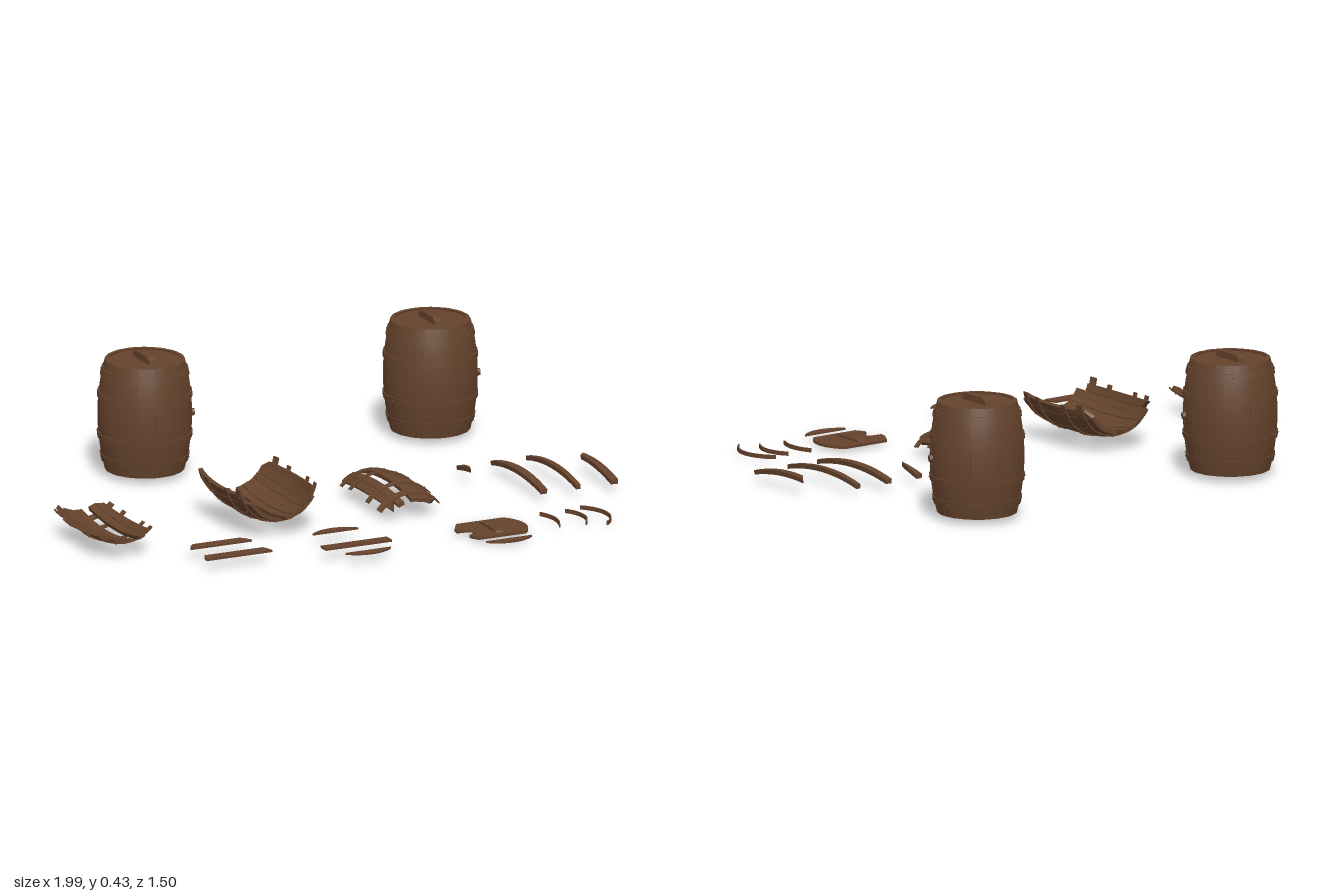
import * as THREE from 'three';
import { mergeGeometries } from 'three/addons/utils/BufferGeometryUtils.js';

const wood = new THREE.MeshStandardMaterial({ color: 0x65432c });
wood.name = 'brown wood';

const HALF = 0.195, STEP = Math.PI * 2 / 32;
const HOOPS = [[-0.15, 0.026], [-0.07, 0.02], [0.075, 0.02], [0.155, 0.026]];
const bulge = s => 0.163 - 0.025 * (s / HALF) ** 2;

let seed = 7;
const rnd = () => (seed = (seed * 16807) % 2147483647) / 2147483647;

// Curved slab of a barrel wall: angles a0..a1 around z, s0..s1 along z.
// slant shortens the far end at a1; taper narrows the slab towards s1.
function sector(a0, a1, s0, s1, { off = 0, th = 0.014, radius = bulge, nS = 10, slant = 0, taper = 0 } = {}) {
  const g = new THREE.BoxGeometry(1, 1, 1, Math.max(1, Math.ceil((a1 - a0) / 0.14)), 1, nS);
  const p = g.attributes.position;
  for (let i = 0; i < p.count; i++) {
    const u = p.getX(i) + 0.5, v = p.getY(i) + 0.5, w = p.getZ(i) + 0.5;
    const s = s0 + (s1 - s0 - slant * u) * w;
    const a = a0 + (a1 - a0) * u * (1 - taper * w);
    const r = radius(s) + off - th * (1 - v);
    p.setXYZ(i, r * Math.sin(a), r * Math.cos(a), s);
  }
  g.computeVertexNormals();
  return g;
}

function add(parent, name, geo, x = 0, y = 0, z = 0) {
  const m = new THREE.Mesh(geo, wood);
  m.name = name;
  m.position.set(x, y, z);
  parent.add(m);
  return m;
}

function group(parent, name, x, y, z) {
  const g = new THREE.Group();
  g.name = name;
  g.position.set(x, y, z);
  parent.add(g);
  return g;
}

// Small rivet heads along a hoop
function rivets(a0, a1, s, n) {
  return Array.from({ length: n }, (_, i) => {
    const a = a0 + (a1 - a0) * (i + 0.5) / n, r = bulge(s) + 0.004;
    return new THREE.SphereGeometry(0.003, 6, 4).translate(r * Math.sin(a), r * Math.cos(a), s);
  });
}

// Flat plate from [x, z] points, top face at y = 0
function plate(pts, th = 0.007) {
  const shape = new THREE.Shape(pts.map(([x, z]) => new THREE.Vector2(x, z)));
  return new THREE.ExtrudeGeometry(shape, { depth: th, bevelEnabled: false }).rotateX(Math.PI / 2);
}

// Points on the lid's edge between two z offsets
const LID = 0.127;
function lidEdge(z0, z1, side) {
  return Array.from({ length: 9 }, (_, i) => {
    const t0 = Math.asin(z0 / LID), t1 = Math.asin(z1 / LID), t = t0 + (t1 - t0) * i / 8;
    return [side * LID * Math.cos(t), LID * Math.sin(t)];
  });
}
const lidBoard = (z0, z1) => plate([...lidEdge(z0, z1, 1), ...lidEdge(z1, z0, -1)]);

// Grip bar with sloping ends, running along z
function grip(h) {
  const s = new THREE.Shape([[-0.065, 0], [0.065, 0], [0.062, h * 0.6], [0.045, h], [-0.045, h], [-0.062, h * 0.6]]
    .map(([x, y]) => new THREE.Vector2(x, y)));
  return new THREE.ExtrudeGeometry(s, { depth: 0.028, bevelEnabled: false })
    .translate(0, 0, -0.014).rotateY(Math.PI / 2);
}

function barrel(parent, x, z) {
  const b = group(parent, 'barrel', x, 0.217, z);
  const body = group(b, 'barrelBody', 0, 0, 0);
  body.rotation.x = -Math.PI / 2;
  const staves = [];
  for (let i = 0; i < 32; i++)
    staves.push(sector(i * STEP, (i + 1) * STEP, -HALF, HALF, { off: (i % 2) * -0.0012 - rnd() * 0.0008 }));
  add(body, 'staves', mergeGeometries(staves));
  HOOPS.forEach(([s, w]) => {
    add(body, 'hoop', sector(0, Math.PI * 2, s - w / 2, s + w / 2, { off: 0.004, th: 0.005, nS: 2 }));
    add(body, 'rivets', mergeGeometries(rivets(0, Math.PI * 2, s, 16)));
  });
  add(b, 'lid', new THREE.CylinderGeometry(0.129, 0.129, 0.012, 32), 0, 0.183, 0);
  add(b, 'bottom', new THREE.CylinderGeometry(0.129, 0.129, 0.012, 32), 0, -0.184, 0);
  add(b, 'lidGrip', grip(0.024), 0, 0.189, 0);
  // Bung on the side
  const bung = add(b, 'bung', new THREE.CylinderGeometry(0.012, 0.014, 0.014, 12), 0.153, 0, 0.06);
  bung.quaternion.setFromUnitVectors(new THREE.Vector3(0, 1, 0), new THREE.Vector3(0.153, 0, 0.06).normalize());
}

// Broken piece of barrel wall lying along z, with missing staves and torn hoops
function fragment(parent, x, y, reach, missing, hoopReach, trough) {
  const f = group(parent, 'brokenBarrelWall', x, y, 0.112);
  if (trough) f.rotation.x = Math.PI;
  const staves = [];
  for (let i = -reach; i <= reach; i++) {
    if (missing.includes(i)) continue;
    const edge = Math.abs(i) === reach;
    staves.push(sector((i - 0.48) * STEP, (i + 0.48) * STEP, -HALF + (edge ? rnd() * 0.05 : 0), HALF,
      { off: -rnd() * 0.002, slant: edge ? 0.03 : 0 }));
  }
  add(f, 'staves', mergeGeometries(staves));
  HOOPS.forEach(([s, w]) => {
    const a0 = -hoopReach + rnd() * 0.1, a1 = hoopReach - rnd() * 0.1;
    add(f, 'tornHoop', sector(a0, a1, s - w / 2, s + w / 2, { off: 0.004, th: 0.005, nS: 2 }));
    add(f, 'rivets', mergeGeometries(rivets(a0, a1, s, Math.round(hoopReach * 5))));
  });
}

export function createModel() {
  const root = new THREE.Group();
  root.name = 'barrelsAndParts';

  barrel(root, -0.375, -0.59);
  barrel(root, 0.715, -0.59);

  fragment(root, -0.875, 0.195, 3, [1], 0.85, true);
  fragment(root, -0.287, 0.197, 6, [0], 1.45, true);
  fragment(root, 0.215, -0.062, 3, [-1], 0.9, false);

  // Loose staves: x, half angle, start, end, slant, taper
  [[0.58, 0.095, -HALF, -0.08, 0.03, 0.6], [0.71, 0.095, -HALF, HALF, 0, 0],
    [0.841, 0.065, -HALF, HALF, 0, 0], [0.979, 0.105, HALF, -0.085, 0.03, 0.3]]
    .forEach(([x, a, s0, s1, slant, taper]) => {
      const flip = s0 > s1;
      const m = add(root, 'looseStave',
        sector(-a, a, flip ? -s0 : s0, flip ? -s1 : s1, { slant, taper, th: 0.016 }), x, -0.097, 0.112);
      if (flip) m.rotation.y = Math.PI;
    });

  // Loose lid boards: circle centre x, z, then offsets of the two straight cuts
  [[-0.575, 0.465, -0.09, -0.048], [-0.575, 0.575, -0.062, -0.015],
    [-0.153, 0.537, -0.1269, -0.092], [-0.153, 0.607, -0.022, 0.022],
    [-0.153, 0.608, 0.092, 0.1269]]
    .forEach(([x, z, z0, z1]) => add(root, 'looseLidBoard', lidBoard(z0, z1), x, 0.044, z));
  add(root, 'looseLidBoard', lidBoard(0.092, 0.1269), 0.38, 0.019, 0.618);

  // Broken lid with a torn left edge and a grip on both faces
  const lid = group(root, 'brokenLid', 0.38, 0.019, 0.57);
  add(lid, 'lidBoards', plate([...lidEdge(-0.09, 0.09, 1), [-0.09, 0.09], [-0.108, 0.06], [-0.105, 0.045],
    [-0.075, 0.04], [-0.08, 0.02], [-0.072, 0.0], [-0.085, -0.008], [-0.125, -0.012], [-0.12, -0.04], [-0.09, -0.09]], 0.009));
  add(lid, 'lidGrip', grip(0.008));
  add(lid, 'lidGripUnderside', grip(0.009), 0, -0.01, 0).rotation.z = Math.PI;

  // Broken hoop strips: outer x, z, radius, half angle
  [[0.622, 0.578, 0.158, 0.51], [0.725, 0.588, 0.13, 0.69], [0.81, 0.597, 0.14, 0.87]]
    .forEach(([x, z, r, a]) => {
      const g = sector(Math.PI / 2 - a, Math.PI / 2 + a, -0.007, 0.007, { th: 0.005, radius: () => r, nS: 1 });
      add(root, 'looseHoopStrip', g, x - r, 0.02, z).rotation.x = -Math.PI / 2;
    });

  return root;
}
